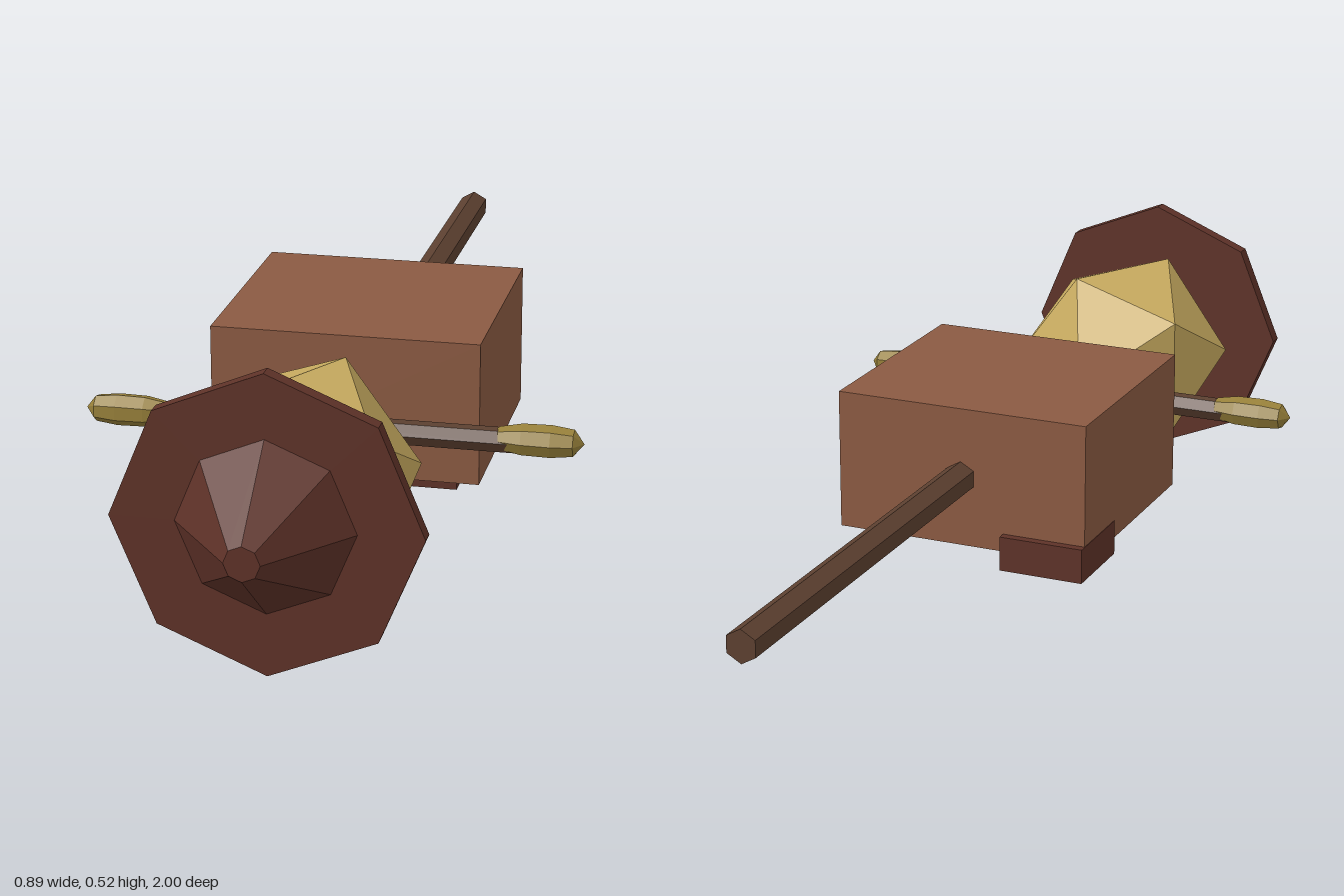
import * as THREE from 'three';
import { ConvexGeometry } from 'three/addons/geometries/ConvexGeometry.js';

const AXIS_Y = 0.262;

const paint = (color) => new THREE.MeshStandardMaterial({ color, flatShading: true });
const wood = paint(0x5c4030);
const clay = paint(0x8b5a42);
const dark = paint(0x5e3228);
const straw = paint(0xc8ab60);
const glove = paint(0x97803a);

export function createModel() {
  const model = new THREE.Group();

  const add = (name, geometry, material, x = 0, y = AXIS_Y, z = 0, parent = model) => {
    const mesh = new THREE.Mesh(geometry, material);
    mesh.name = name;
    mesh.position.set(x, y, z);
    parent.add(mesh);
    return mesh;
  };

  // Faceted cylinder or cone lying along z, with a corner at the top
  const alongZ = (name, rFront, rBack, z0, z1, sides, material) => {
    const g = new THREE.CylinderGeometry(rFront, rBack, z1 - z0, sides);
    g.rotateY(Math.PI).rotateX(Math.PI / 2);
    return add(name, g, material, 0, AXIS_Y, (z0 + z1) / 2);
  };

  // Pole through the body, from the tail into the head
  alongZ('pole', 0.03, 0.03, -1, 0.5, 6, wood);

  // Boxy body with two offset feet
  add('body', new THREE.BoxGeometry(0.486, 0.262, 0.45), clay, 0, AXIS_Y, 0.055);
  add('leftFoot', new THREE.BoxGeometry(0.13, 0.065, 0.128), dark, 0.13, 0.1325, 0.171);
  add('rightFoot', new THREE.BoxGeometry(0.16, 0.065, 0.16), dark, -0.164, 0.1325, -0.106);

  // Head: twenty-sided solid with its points on the pole axis
  const points = [new THREE.Vector3(0, 0, 0.234), new THREE.Vector3(0, 0, -0.234)];
  for (let i = 0; i < 5; i++) {
    const a = (i * 2 * Math.PI) / 5;
    const x = 0.188 * Math.cos(a), y = 0.188 * Math.sin(a);
    points.push(new THREE.Vector3(x, y, -0.1045), new THREE.Vector3(-x, y, 0.1045));
  }
  add('head', new ConvexGeometry(points), straw, 0, AXIS_Y, 0.628);

  // Eight-sided hat
  alongZ('hatBrim', 0.26, 0.26, 0.822, 0.85, 8, dark);
  alongZ('hatCrown', 0.03, 0.15, 0.85, 1, 8, dark);

  // Crossbar with a hand at each end
  const bar = new THREE.CylinderGeometry(0.022, 0.022, 0.7, 6);
  bar.rotateZ(Math.PI / 2);
  add('crossbar', bar, wood, 0, 0.259, 0.38);

  const profile = [[0, 0.275], [0.02, 0.295], [0.028, 0.335], [0.029, 0.386], [0.024, 0.425], [0, 0.443]];
  const hand = new THREE.LatheGeometry(profile.map(([r, h]) => new THREE.Vector2(r, h)), 7);
  hand.rotateZ(-Math.PI / 2);
  add('leftHand', hand, glove, 0, AXIS_Y, 0.38);
  add('rightHand', hand, glove, 0, AXIS_Y, 0.38).rotation.y = Math.PI;

  return model;
}
